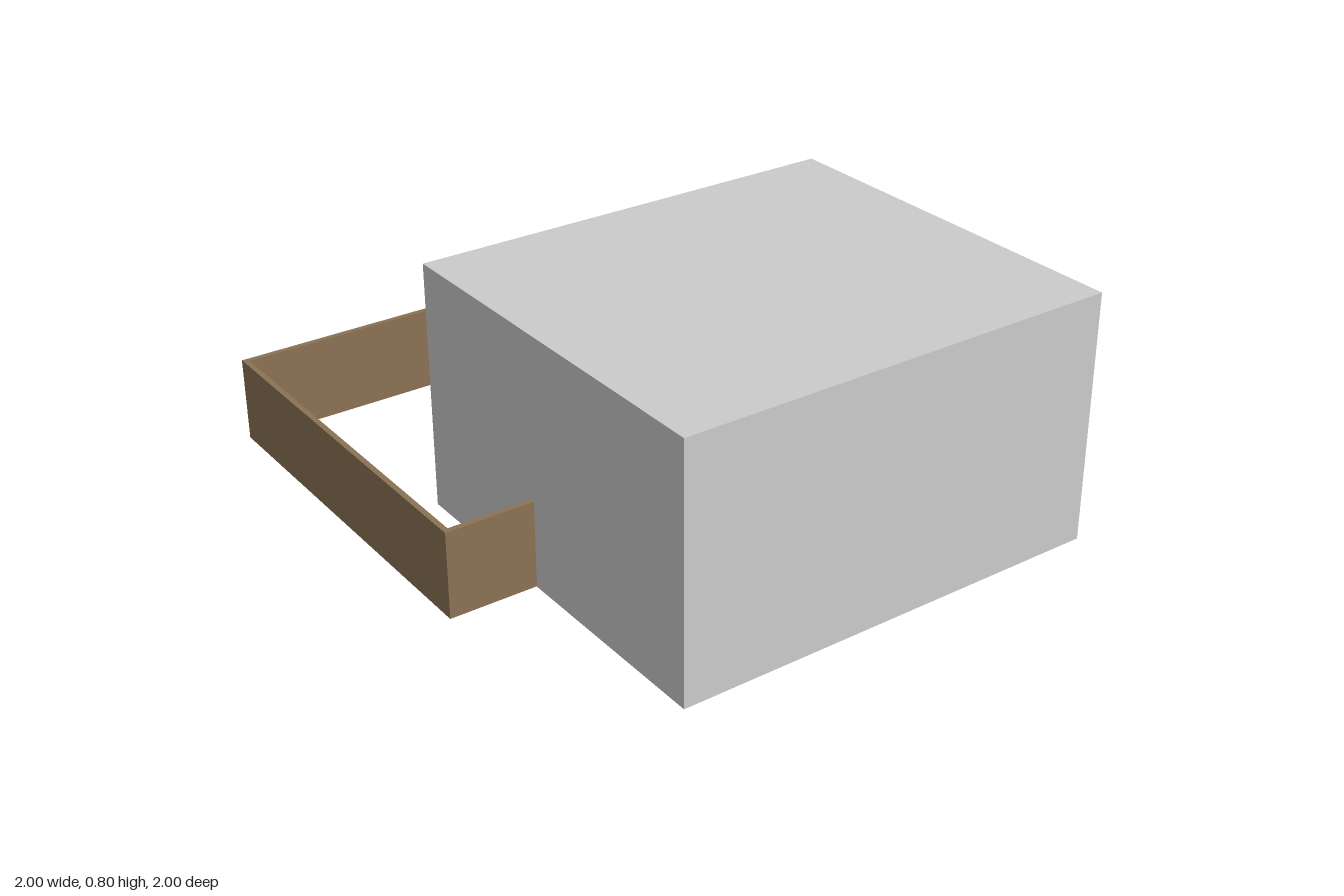
import * as THREE from 'three';

export function createModel() {
  const group = new THREE.Group();
  const grey = new THREE.MeshStandardMaterial({ color: 0xcccccc });
  const wood = new THREE.MeshStandardMaterial({ color: 0x8b7355 });

  // Box spanning the given corners
  function box(name, material, [x0, y0, z0], [x1, y1, z1]) {
    const mesh = new THREE.Mesh(new THREE.BoxGeometry(x1 - x0, y1 - y0, z1 - z0), material);
    mesh.position.set((x0 + x1) / 2, (y0 + y1) / 2, (z0 + z1) / 2);
    mesh.name = name;
    group.add(mesh);
  }

  // Main building block
  box('building', grey, [-0.717, 0, -0.28], [0.717, 0.8, 1]);

  // Fence ring; its front board runs through the building, just clear of its underside
  const t = 0.018, low = 0.002, high = 0.28, back = -1, front = 0.287;
  box('backFence', wood, [-1, low, back], [1, high, back + t]);
  box('frontFence', wood, [-1, low, front - t], [1, high, front]);
  for (const [name, x] of [['leftFence', 1 - t], ['rightFence', -1]]) {
    box(name, wood, [x, low, back + t], [x + t, high, front - t]);
  }
  return group;
}
